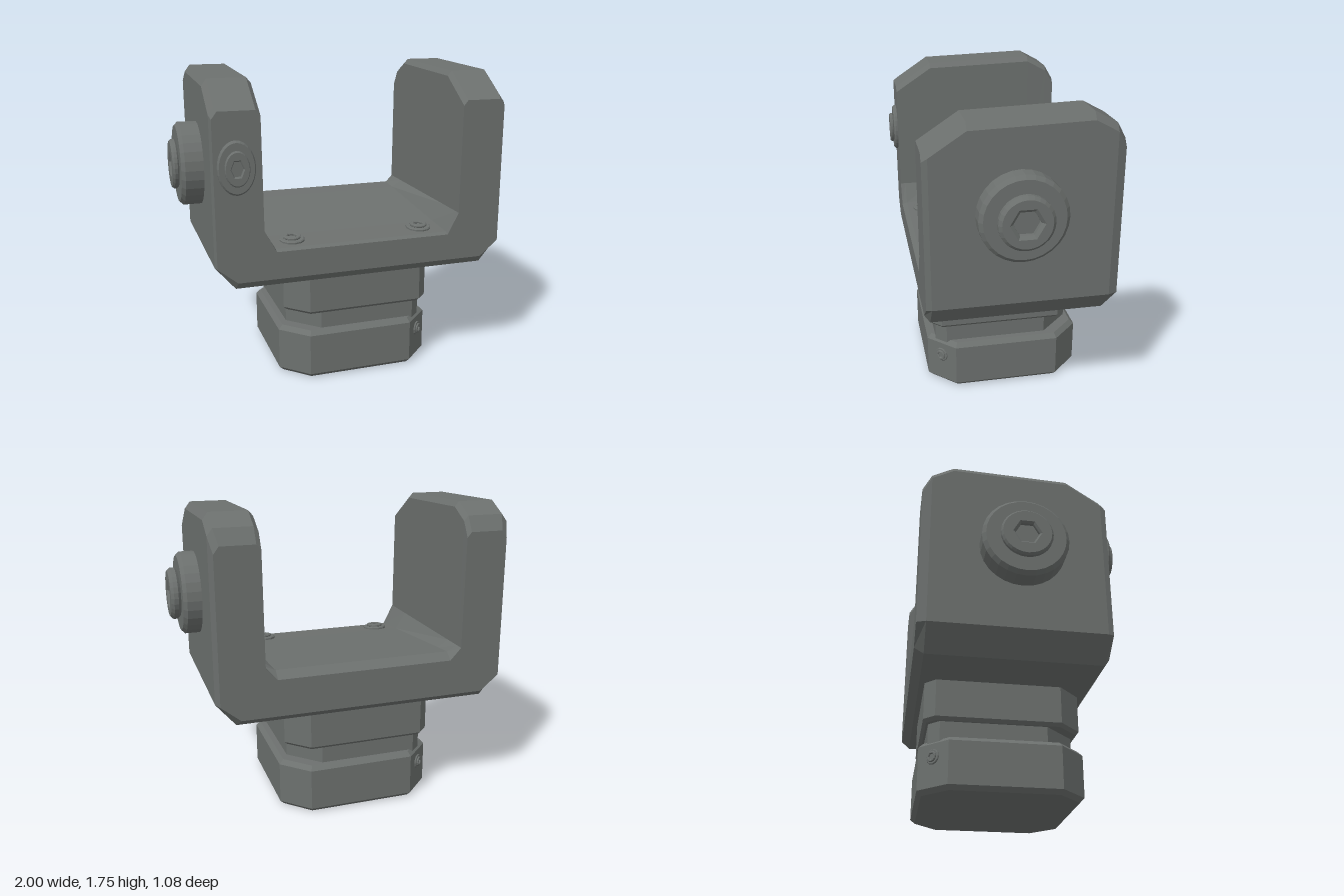
import * as THREE from 'three';

const metal = new THREE.MeshStandardMaterial({ color: 0x6c706e });
metal.name = 'dark grey metal';

function mesh(name, geometry) {
  const m = new THREE.Mesh(geometry, metal);
  m.name = name;
  return m;
}

// U-shaped section at one depth, counter-clockwise
function yokeSection({ w, top, floor, bottom }) {
  const right = [
    [w - 0.11, bottom], [w, 0.75], [w, top - 0.04], [w - 0.03, top],
    [0.605, top], [0.58, top - 0.03], [0.575, 0.94], [0.51, floor],
  ];
  const left = right.map(([x, y]) => [-x, y]).reverse();
  return [...right, ...left];
}

// Yoke: the section lofted from front to back
function yokeGeometry() {
  const stations = [
    { z: 0.49, w: 0.835, top: 1.59, floor: 0.815, bottom: 0.66 },
    { z: 0.46, w: 0.845, top: 1.61, floor: 0.825, bottom: 0.62 },
    { z: 0.27, w: 0.845, top: 1.735, floor: 0.84, bottom: 0.62 },
    { z: -0.37, w: 0.845, top: 1.755, floor: 0.9, bottom: 0.62 },
    { z: -0.49, w: 0.845, top: 1.69, floor: 0.91, bottom: 0.62 },
    { z: -0.54, w: 0.825, top: 1.605, floor: 0.87, bottom: 0.66 },
  ];
  const rings = stations.map((s) => yokeSection(s).map(([x, y]) => [x, y, s.z]));
  const out = [];
  const tri = (a, b, c) => out.push(...a, ...b, ...c);
  for (let s = 0; s < rings.length - 1; s++) {
    const a = rings[s], b = rings[s + 1], n = a.length;
    for (let i = 0; i < n; i++) {
      const j = (i + 1) % n;
      tri(a[i], b[i], b[j]);
      tri(a[i], b[j], a[j]);
    }
  }
  // Front and back caps
  const cap = (ring, front) => {
    const flat = ring.map(([x, y]) => new THREE.Vector2(x, y));
    for (const [i, j, k] of THREE.ShapeUtils.triangulateShape(flat, [])) {
      if (front) tri(ring[i], ring[j], ring[k]);
      else tri(ring[i], ring[k], ring[j]);
    }
  };
  cap(rings[0], true);
  cap(rings[rings.length - 1], false);
  const g = new THREE.BufferGeometry();
  g.setAttribute('position', new THREE.Float32BufferAttribute(out, 3));
  g.computeVertexNormals();
  return g;
}

// Block with cut corners; a cuts front-right and back-left, b the other two
function cutBlock(name, hx, hz, y0, y1, a, b, bevel) {
  const shape = new THREE.Shape([
    [-hx + b, -hz], [hx - a, -hz], [hx, -hz + a], [hx, hz - b],
    [hx - b, hz], [-hx + a, hz], [-hx, hz - a], [-hx, -hz + b],
  ].map(([x, y]) => new THREE.Vector2(x, y)));
  const g = new THREE.ExtrudeGeometry(shape, {
    depth: y1 - y0 - 2 * bevel, bevelEnabled: bevel > 0, bevelThickness: bevel,
    bevelSize: bevel, bevelOffset: -bevel, bevelSegments: 1,
  });
  g.rotateX(-Math.PI / 2);
  g.translate(0, y0 + bevel, -0.02);
  return mesh(name, g);
}

// Bevelled disc along +z, optionally with a hex socket
function disc(name, r, z0, z1, bevel, sides, socket = 0) {
  const ring = (radius, n) => Array.from({ length: n }, (_, i) => {
    const t = (i / n) * Math.PI * 2;
    return new THREE.Vector2(radius * Math.cos(t), radius * Math.sin(t));
  });
  const shape = new THREE.Shape(ring(r, sides));
  if (socket) shape.holes.push(new THREE.Path(ring(socket + bevel, 6).reverse()));
  const g = new THREE.ExtrudeGeometry(shape, {
    depth: z1 - z0 - 2 * bevel, bevelEnabled: true, bevelThickness: bevel,
    bevelSize: bevel, bevelOffset: -bevel, bevelSegments: 1,
  });
  g.translate(0, 0, z0 + bevel);
  return mesh(name, g);
}

// Washer with a socket-head bolt, facing +z
function fastener(name, { r, h, headR, headH, socket, sides = 28, sink = 0.02 }) {
  const group = new THREE.Group();
  group.name = name;
  group.add(
    disc('washer', r, -sink, h, Math.min(0.02, h * 0.4), sides),
    disc('boltHead', headR, h - 0.002, h + headH, headH * 0.3, sides, socket),
  );
  return group;
}

export function createModel() {
  const model = new THREE.Group();
  model.name = 'yokeMount';
  model.add(mesh('yoke', yokeGeometry()));

  // Stepped pedestal
  model.add(
    cutBlock('footBlock', 0.46, 0.455, 0, 0.29, 0.15, 0.15, 0.025),
    cutBlock('neck', 0.4, 0.41, 0.27, 0.41, 0.06, 0.17, 0),
    cutBlock('collarBlock', 0.43, 0.44, 0.39, 0.64, 0.06, 0.125, 0.018),
  );

  // Pivot bolts on the outer cheeks
  const leftPivot = fastener('leftPivot', { r: 0.232, h: 0.1, headR: 0.145, headH: 0.055, socket: 0.055 });
  leftPivot.position.set(0.845, 1.258, 0);
  leftPivot.rotation.y = Math.PI / 2;
  const rightPivot = fastener('rightPivot', { r: 0.235, h: 0.12, headR: 0.14, headH: 0.035, socket: 0.055 });
  rightPivot.position.set(-0.845, 1.238, 0.01);
  rightPivot.rotation.y = -Math.PI / 2;
  model.add(leftPivot, rightPivot);

  // Oval bolt on the front edge of the right cheek
  const cheekBolt = fastener('cheekBolt', { r: 0.145, h: 0.025, headR: 0.095, headH: 0.022, socket: 0.04 });
  cheekBolt.scale.x = 0.7;
  cheekBolt.position.set(-0.715, 1.295, 0.488);
  model.add(cheekBolt);

  // Bolts on the sloping floor
  for (const x of [-0.39, 0.38]) {
    const bolt = fastener('floorBolt', { r: 0.073, h: 0.012, headR: 0.05, headH: 0.014, socket: 0.024, sides: 12 });
    bolt.position.set(x, 0.835, 0.355);
    bolt.rotation.x = -Math.PI / 2 + 0.09;
    model.add(bolt);
  }

  // Set screws on two opposite cut corners of the foot
  for (const s of [1, -1]) {
    const screw = fastener('setScrew', { r: 0.042, h: 0.008, headR: 0.03, headH: 0.01, socket: 0.014, sides: 12 });
    screw.position.set(0.385 * s, 0.19, 0.38 * s - 0.02);
    screw.rotation.y = s > 0 ? Math.PI / 4 : -Math.PI * 0.75;
    model.add(screw);
  }
  return model;
}
